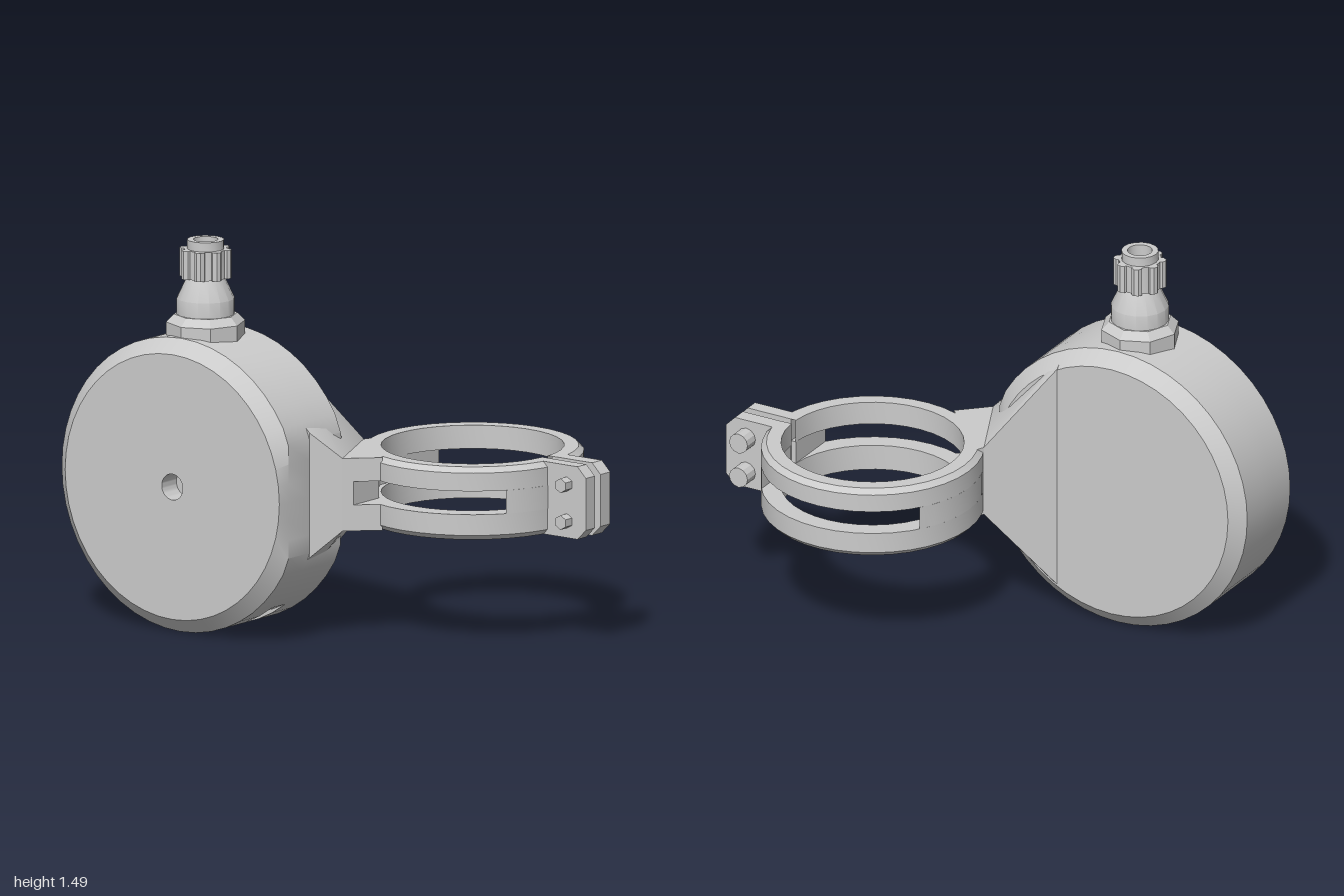
import * as THREE from 'three';
import { toCreasedNormals } from 'three/addons/utils/BufferGeometryUtils.js';
import { ConvexGeometry } from 'three/addons/geometries/ConvexGeometry.js';

const V = (x, y) => new THREE.Vector2(x, y);
const MID = 0.57;                    // height of the drum axis and the clamp
const RING = { x: 0.405, z: -0.172, outer: 0.42, inner: 0.345 };
const Y = [0.43, 0.53, 0.62, 0.71];  // clamp layers: lower band, slot, upper band

export function createModel() {
  const model = new THREE.Group();
  const material = new THREE.MeshStandardMaterial({ color: 0xcccccc, side: THREE.DoubleSide });

  function add(name, geometry, parent = model, crease = 0.5) {
    const mesh = new THREE.Mesh(toCreasedNormals(geometry, crease), material);
    mesh.name = name;
    parent.add(mesh);
    return mesh;
  }
  function group(name) {
    const g = new THREE.Group();
    g.name = name;
    model.add(g);
    return g;
  }
  // Horizontal plate from [x, z] corners between two heights
  function plate(points, y0, y1) {
    const shape = new THREE.Shape(points.map(([x, z]) => V(x, -z)));
    return new THREE.ExtrudeGeometry(shape, { depth: y1 - y0, bevelEnabled: false })
      .rotateX(-Math.PI / 2).translate(0, y0, 0);
  }

  // Drum: clipped circles along z, with a slot underneath and a hole in front
  add('drum', drumGeometry()).position.set(-0.435, 0.565, 0);

  // Gusset tapering from the drum to the arm
  const corners = [];
  for (const s of [-1, 1]) {
    for (const [x, h, z] of [[-0.2, 0.45, 0.17], [-0.2, 0.5, 0.22], [-0.2, 0.5, 0.4],
      [0.08, 0.24, 0.41], [0.02, 0.14, 0], [0.17, 0.14, 0.325]]) {
      corners.push(new THREE.Vector3(x, MID + s * h, z));
    }
  }
  add('gusset', new ConvexGeometry(corners));

  // Arm: full above and below, shorter where the slot passes
  const arm = group('arm');
  const root = [[0.02, 0], [-0.1, 0.12], [0.08, 0.41]];
  const inside = [[0.2, 0.14], [0.12, 0.06], [0.05, -0.07]];
  const full = [...root, [0.28, 0.22], ...inside];
  add('armLower', plate(full, Y[0], Y[1]), arm);
  add('armMiddle', plate([...root, [0.2, 0.296], ...inside], Y[1], Y[2]), arm);
  add('armUpper', plate(full, Y[2], Y[3]), arm);

  // Clamp ring: two split bands with chamfered outer edges
  const ring = group('clampRing');
  const { inner, outer } = RING, c = 0.02;
  const bands = {
    lowerBand: [[inner, Y[0]], [outer - c, Y[0]], [outer, Y[0] + c], [outer, Y[1]], [inner, Y[1]], [inner, Y[0]]],
    upperBand: [[inner, Y[2]], [outer, Y[2]], [outer, Y[3] - c], [outer - c, Y[3]], [inner, Y[3]], [inner, Y[2]]],
  };
  for (const [name, profile] of Object.entries(bands)) {
    const geo = new THREE.LatheGeometry(profile.map(p => V(...p)), 36, Math.PI / 2 + 0.045, Math.PI * 2 - 0.09);
    add(name, geo, ring).position.set(RING.x, 0, RING.z);
  }

  // Bridges joining the bands at both ends of the slots
  const slotAngle = Math.acos(inner / outer);
  function bridge(name, a0, a1) {
    const points = [];
    for (let i = 0; i <= 8; i++) {
      const a = a0 + (a1 - a0) * i / 8;
      points.push([RING.x + outer * Math.cos(a), RING.z + outer * Math.sin(a)]);
    }
    const chordX = RING.x + Math.sign(Math.cos(a0 + 0.1)) * inner;
    points.push([chordX, points[8][1]], [chordX, points[0][1]]);
    add(name, plate(points, Y[1], Y[2]), ring);
  }
  bridge('leftBridge', 0.045, slotAngle);
  bridge('leftBridge', -slotAngle, -0.045);
  bridge('rightBridge', Math.PI - slotAngle, Math.PI + slotAngle);

  // Clamping ears with cut corners
  const ears = group('clampEars');
  const k = 0.04;
  const earShape = new THREE.Shape([V(0.77, Y[0]), V(1 - k, Y[0]), V(1, Y[0] + k),
    V(1, Y[3] - k), V(1 - k, Y[3]), V(0.77, Y[3])]);
  for (const [name, z0, z1] of [['frontEar', -0.155, -0.1], ['backEar', -0.25, -0.19]]) {
    add(name, new THREE.ExtrudeGeometry(earShape, { depth: z1 - z0, bevelEnabled: false }).translate(0, 0, z0), ears);
  }

  // Bolts through the ears
  for (const y of [0.495, 0.637]) {
    const bolt = group('bolt');
    bolt.position.set(0.91, y, 0);
    const rod = (name, r, z0, z1, sides) => add(name,
      new THREE.CylinderGeometry(r, r, z1 - z0, sides).rotateX(Math.PI / 2).translate(0, 0, (z0 + z1) / 2), bolt);
    rod('boltShank', 0.028, -0.26, -0.06, 6);
    rod('boltHead', 0.04, -0.31, -0.25, 12);
  }

  // Cable gland on top of the drum
  const gland = group('cableGland');
  gland.position.set(-0.435, 0, 0.385);
  const lathe = (name, pts, sides) =>
    add(name, new THREE.LatheGeometry(pts.map(p => V(...p)), sides), gland);
  lathe('glandCollar', [[0.15, 1.02], [0.15, 1.17], [0.12, 1.2], [0, 1.2]], 8);
  lathe('glandBody', [[0.11, 1.19], [0.11, 1.26], [0.07, 1.345], [0, 1.345]], 16);
  lathe('glandNut', [[0, 1.34], [0.082, 1.34], [0.082, 1.45], [0.07, 1.45], [0.07, 1.485],
    [0.047, 1.485], [0.047, 1.38], [0, 1.38]], 16);
  for (let i = 0; i < 8; i++) {
    const a = (i + 0.5) * Math.PI / 4;
    add('nutRib', new THREE.CylinderGeometry(0.021, 0.021, 0.11, 8), gland)
      .position.set(0.08 * Math.cos(a), 1.395, 0.08 * Math.sin(a));
  }
  return model;
}

// Cross-sections [z, radius, floor]; flat on the arm side
function drumGeometry() {
  const N = 48, R = 0.565, flat = 0.515, notch = -0.475;
  const sections = [[0.17, 0], [0.17, 0.51], [0.22, R], [0.34, R], [0.34, R, notch], [0.42, R, notch],
    [0.42, R], [0.54, R], [0.59, 0.51], [0.59, 0.05], [0.5, 0.05], [0.5, 0]];
  const positions = [], index = [];
  sections.forEach(([z, r, floor = -1], s) => {
    for (let i = 0; i < N; i++) {
      const a = i / N * Math.PI * 2;
      positions.push(Math.min(r * Math.cos(a), flat), Math.max(r * Math.sin(a), floor), z);
      if (s === 0) continue;
      const j = (i + 1) % N, p = (s - 1) * N, q = s * N;
      index.push(p + i, p + j, q + j, p + i, q + j, q + i);
    }
  });
  const geo = new THREE.BufferGeometry();
  geo.setAttribute('position', new THREE.Float32BufferAttribute(positions, 3));
  geo.setIndex(index);
  return geo;
}
